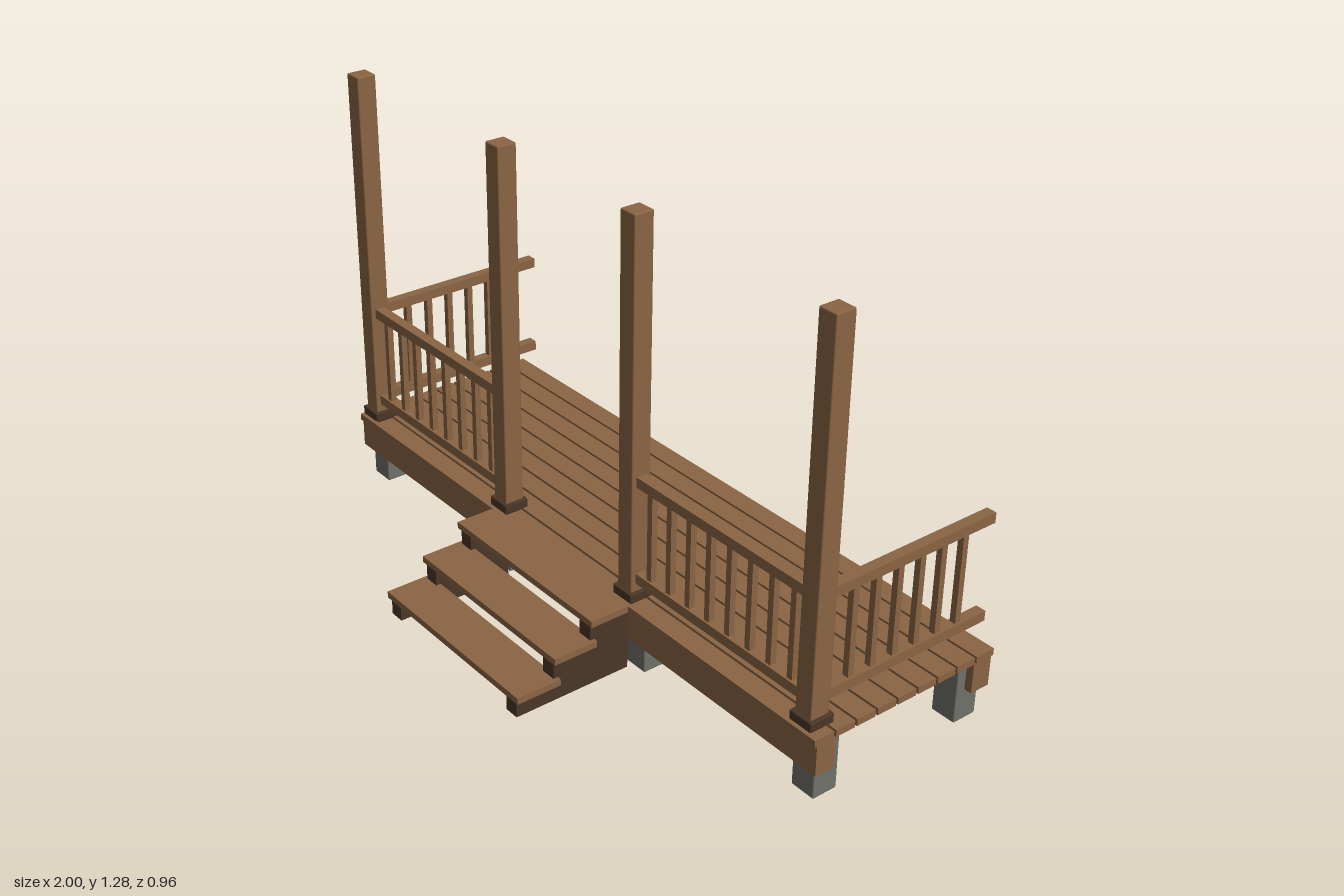
import * as THREE from 'three';
import { RoundedBoxGeometry } from 'three/addons/geometries/RoundedBoxGeometry.js';

export function createModel() {
  const root = new THREE.Group();
  root.name = 'porchDeck';

  const mat = (name, color) => Object.assign(new THREE.MeshStandardMaterial({ color }), { name });
  const wood = mat('wood', 0x8b6544);
  const darkWood = mat('darkWood', 0x4a3728);
  const concrete = mat('concrete', 0x70716a);

  const group = (name) => {
    const g = new THREE.Group();
    g.name = name;
    root.add(g);
    return g;
  };

  // Box from its limits on each axis; bevel softens the edges
  const box = (parent, name, material, [x0, x1], [y0, y1], [z0, z1], bevel = 0) => {
    const w = x1 - x0, h = y1 - y0, d = z1 - z0;
    const geo = bevel ? new RoundedBoxGeometry(w, h, d, 1, bevel) : new THREE.BoxGeometry(w, h, d);
    const mesh = new THREE.Mesh(geo, material);
    mesh.name = name;
    mesh.position.set((x0 + x1) / 2, (y0 + y1) / 2, (z0 + z1) / 2);
    parent.add(mesh);
  };
  const around = (c, size) => [c - size / 2, c + size / 2];

  // Deck boards with narrow gaps, laid on two long beams
  const deck = group('deck');
  for (let i = 0; i < 9; i++) {
    box(deck, 'deckBoard', wood, [-1, 1], [0.18, 0.2], around(-0.446 + i * 0.068, 0.061));
  }
  box(deck, 'frontBeam', wood, [-1, 1], [0.093, 0.18], [0.061, 0.121]);
  box(deck, 'backBeam', wood, [-1, 1], [0.093, 0.18], [-0.469, -0.408]);

  // Foundation blocks
  const foundation = group('foundation');
  for (const x of [-0.94, -0.302, 0.302, 0.94]) {
    for (const z of [0.063, -0.418]) {
      box(foundation, 'footingBlock', concrete, around(x, 0.076), [0.004, 0.177], around(z, 0.076), 0.004);
    }
  }

  // Posts with dark base collars
  const postZ = 0.09;
  const posts = group('posts');
  for (const x of [-0.945, -0.276, 0.276, 0.945]) {
    box(posts, 'post', wood, around(x, 0.056), [0.21, 1.28], around(postZ, 0.058), 0.004);
    box(posts, 'postCollar', darkWood, around(x, 0.075), [0.209, 0.237], around(postZ, 0.075), 0.004);
    box(posts, 'postFoot', darkWood, around(x, 0.05), [0.2, 0.211], around(postZ, 0.05));
  }

  // Railings: one front panel and one side panel on each half
  const railHeights = [[0.261, 0.29], [0.545, 0.574]];
  const balusterHeight = [0.288, 0.547];
  for (const s of [-1, 1]) {
    const half = s > 0 ? 'left' : 'right';
    const span = (a, b) => (s > 0 ? [a, b] : [-b, -a]);
    const front = group(half + 'FrontRailing');
    const side = group(half + 'SideRailing');
    for (const y of railHeights) {
      box(front, 'rail', wood, span(0.3, 0.92), y, around(postZ, 0.03));
      box(side, 'rail', wood, around(s * 0.945, 0.03), y, [-0.477, 0.064]);
    }
    for (let i = 0; i < 8; i++) {
      box(front, 'baluster', wood, around(s * (0.35 + i * 0.0747), 0.018), balusterHeight, around(postZ, 0.018));
    }
    for (let i = 0; i < 7; i++) {
      box(side, 'baluster', wood, around(s * 0.945, 0.018), balusterHeight, around(0.051 - i * 0.0725, 0.018));
    }
  }

  // Steps: stepped stringers, drawn as (z, y) and extruded along x
  const steps = group('steps');
  const profile = new THREE.Shape([
    [0.119, 0.003], [0.474, 0.003], [0.474, 0.048], [0.358, 0.048], [0.358, 0.116],
    [0.241, 0.116], [0.241, 0.18], [0.119, 0.18],
  ].map(([z, y]) => new THREE.Vector2(z, y)));
  const stringerGeo = new THREE.ExtrudeGeometry(profile, { depth: 0.044, bevelEnabled: false });
  stringerGeo.translate(0, 0, -0.022).rotateY(-Math.PI / 2).scale(1, 1, 1);
  for (const x of [-0.269, 0.269]) {
    const stringer = new THREE.Mesh(stringerGeo, darkWood);
    stringer.name = 'stringer';
    stringer.position.x = x;
    steps.add(stringer);
  }

  // Treads
  box(steps, 'topTread', wood, [-0.303, 0.303], [0.181, 0.2], [0.1285, 0.245]);
  box(steps, 'middleTread', wood, [-0.303, 0.303], [0.116, 0.135], [0.228, 0.362]);
  box(steps, 'bottomTread', wood, [-0.303, 0.303], [0.048, 0.067], [0.344, 0.479]);

  // Stand exactly on the ground
  root.children.forEach((g) => { if (g.name === 'foundation') g.position.y = -0.004; });
  steps.children.forEach((m) => { if (m.name === 'stringer') m.position.y = -0.003; });
  return root;
}
